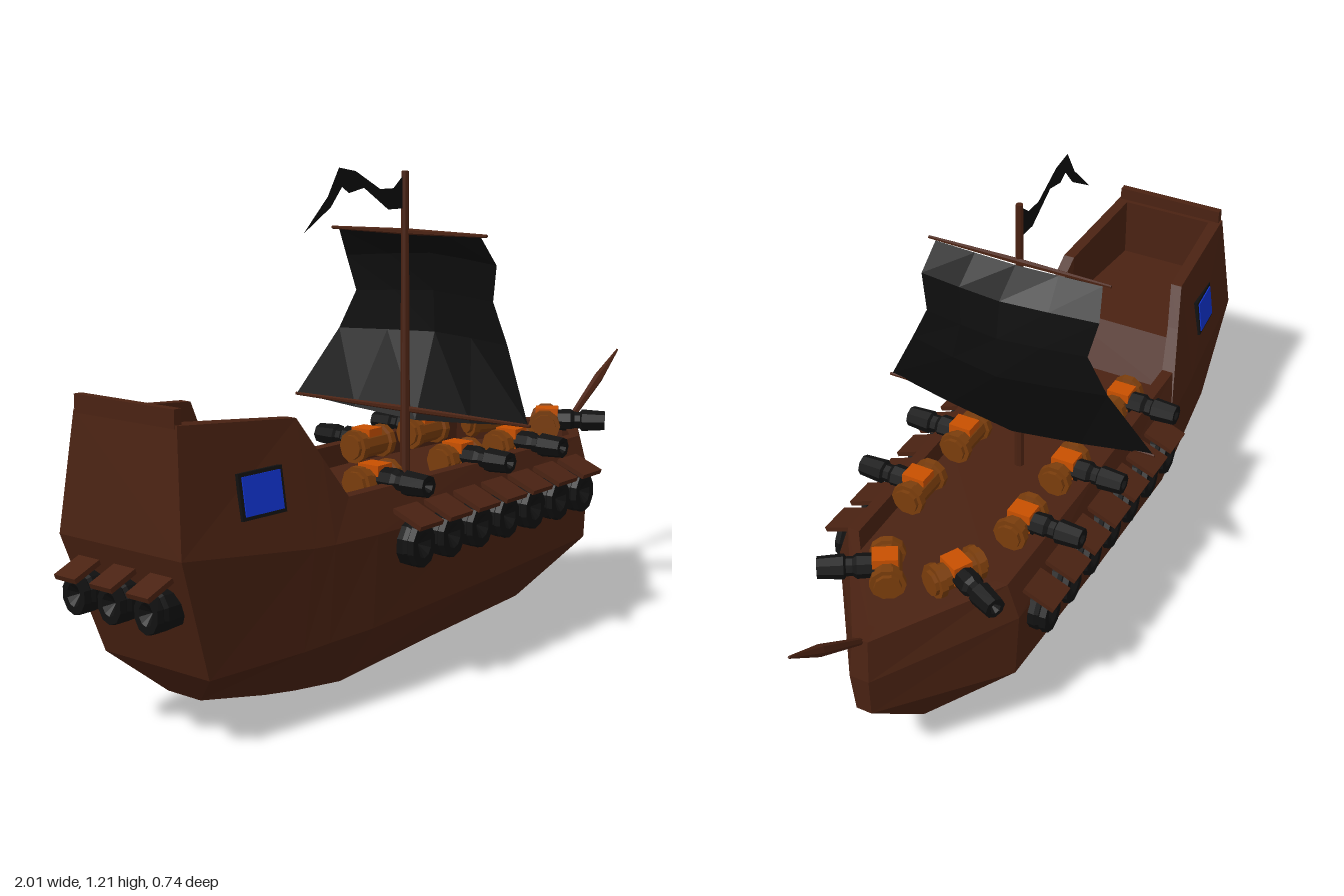
import * as THREE from 'three';

const mat = (color, side = THREE.FrontSide) =>
  new THREE.MeshStandardMaterial({ color, flatShading: true, side });
const wood = mat(0x4a2212);
const black = mat(0x111111);
const cloth = mat(0x0d0d0d, THREE.DoubleSide);
const orange = mat(0xc85000);
const bronze = mat(0x7a3d0c);
const blue = mat(0x1133cc);

function add(parent, name, geometry, material, x = 0, y = 0, z = 0) {
  const mesh = new THREE.Mesh(geometry, material);
  mesh.name = name;
  mesh.position.set(x, y, z);
  parent.add(mesh);
  return mesh;
}

function indexed(points, index) {
  const g = new THREE.BufferGeometry();
  g.setAttribute('position', new THREE.Float32BufferAttribute(points.flat(), 3));
  g.setIndex(index);
  const flat = g.toNonIndexed();
  flat.computeVertexNormals();
  return flat;
}

const lathe = (profile, segments) =>
  new THREE.LatheGeometry(profile.map(([r, y]) => new THREE.Vector2(r, y)), segments);

// Each station: keel, chine, belt and rail as [x, y, halfWidth], then deck height and inner x shift
const stations = [
  [[-.79, .08, .05], [-.87, .17, .16], [-.965, .45, .185], [-.94, .72, .155], .56, .03],
  [[-.6, .04, .06], [-.62, .175, .2], [-.61, .41, .225], [-.61, .69, .175], .56, 0],
  [[-.5, .022, .06], [-.55, .18, .212], [-.55, .407, .232], [-.55, .595, .197], .56, 0],
  [[-.34, 0, .06], [-.42, .185, .23], [-.42, .405, .245], [-.485, .5, .215], .44, 0],
  [[0, .02, .06], [0, .2, .235], [0, .4, .247], [0, .495, .22], .44, 0],
  [[.4, .035, .055], [.45, .22, .235], [.45, .4, .245], [.45, .49, .215], .43, 0],
  [[.54, .06, .03], [.745, .25, .02], [.755, .36, .025], [.74, .47, .02], .42, -.05],
];

function hullGeometry() {
  const points = [], index = [], n = 12;
  for (const [keel, chine, belt, rail, deck, shift] of stations) {
    const w = Math.max(rail[2] - .03, .008);
    const half = [keel, chine, belt, rail, [rail[0] + shift, rail[1], w], [rail[0] + shift, deck, w]];
    for (const [x, y, z] of half) points.push([x, y, z]);
    for (const [x, y, z] of half.slice().reverse()) points.push([x, y, -z]);
  }
  const quad = (a, b, c, d) => index.push(a, b, c, a, c, d);
  const last = stations.length - 1;
  for (let i = 0; i < last; i++)
    for (let k = 0; k < n; k++) {
      const l = (k + 1) % n;
      quad(i * n + k, (i + 1) * n + k, (i + 1) * n + l, i * n + l);
    }
  // Transom and stem, with the inside faces of both
  for (let j = 0; j < 5; j++) {
    quad(j, j + 1, n - 2 - j, n - 1 - j);
    const o = last * n;
    quad(o + j, o + n - 1 - j, o + n - 2 - j, o + j + 1);
  }
  return indexed(points, index);
}

// Sail rows: height, half width, edge x, centre x, centre height
function sailGeometry() {
  const rows = [
    [1.04, .22, -.005, .005, 1.04], [.97, .235, .04, .085, .985], [.88, .215, .055, .1, .89],
    [.78, .265, .045, .105, .785], [.605, .365, -.01, .025, .57],
  ];
  const points = [], index = [], cols = 5;
  for (const [y, w, ex, cx, cy] of rows)
    for (let k = 0; k < cols; k++) {
      const t = k / 2 - 1, e = Math.abs(t) ** 1.2;
      points.push([cx + (ex - cx) * e, cy + (y - cy) * e, w * t]);
    }
  for (let i = 0; i < rows.length - 1; i++)
    for (let k = 0; k < cols - 1; k++) {
      const a = i * cols + k, b = a + cols;
      index.push(a, b, b + 1, a, b + 1, a + 1);
    }
  return indexed(points, index);
}

// Deck gun on a spool-shaped carriage, firing along its own +z
const gunBarrel = lathe([[0, -.01], [.027, -.01], [.03, .07], [.023, .08], [.023, .095],
  [.03, .1], [.026, .162], [.015, .162], [0, .14]], 8).rotateX(Math.PI / 2);
const spool = lathe([[0, -.072], [.032, -.072], [.032, -.062], [.043, -.062], [.043, -.045],
  [.034, -.043], [.034, .043], [.043, .045], [.043, .062], [.032, .062], [.032, .072], [0, .072]], 10)
  .rotateZ(Math.PI / 2);

function deckGun(x, z, angle) {
  const gun = new THREE.Group();
  gun.name = 'deckGun';
  add(gun, 'carriage', spool, bronze);
  add(gun, 'gunMount', new THREE.BoxGeometry(.05, .05, .06), orange, 0, .017, .005);
  add(gun, 'gunBarrel', gunBarrel, black, 0, .008, 0);
  gun.position.set(x, .495, z);
  gun.rotation.y = angle;
  return gun;
}

// Hull gun under a tilted lid, firing along its own +z
const portBarrel = lathe([[0, -.04], [.042, -.04], [.045, .02], [.04, .03], [.045, .035],
  [.042, .05], [.025, .05], [0, .03]], 10).rotateX(Math.PI / 2);

function portGun(name, x, y, z, angle, width, scale) {
  const gun = new THREE.Group();
  gun.name = name;
  add(gun, 'portBarrel', portBarrel, black).scale.set(scale, scale * 1.22, 1);
  const lid = add(gun, 'portLid', new THREE.BoxGeometry(width, .012, .085), wood, 0, .065 * scale, .032);
  lid.rotation.x = .38;
  gun.position.set(x, y, z);
  gun.rotation.y = angle;
  return gun;
}

export function createModel() {
  const ship = new THREE.Group();
  ship.name = 'sailingShip';
  add(ship, 'hull', hullGeometry(), wood);
  add(ship, 'sternBoard', new THREE.BoxGeometry(.02, .04, .3), wood, -.932, .733, 0);

  // Mast, yards, sail and pennant
  add(ship, 'mast', new THREE.CylinderGeometry(.009, .013, .77, 8), wood, -.015, .805, 0);
  for (const [y, half] of [[1.043, .24], [.603, .37]]) {
    const yard = lathe([[0, -half], [.004, -half], [.008, 0], [.004, half], [0, half]], 6);
    add(ship, 'yard', yard.rotateX(Math.PI / 2), wood, -.008, y, 0);
  }
  add(ship, 'sail', sailGeometry(), cloth);
  const pennant = new THREE.Shape([[-.015, 1.185], [-.06, 1.15], [-.11, 1.15], [-.2, 1.195], [-.26, 1.205],
    [-.3, 1.14], [-.385, 1.06], [-.29, 1.115], [-.25, 1.16], [-.225, 1.145], [-.17, 1.155],
    [-.08, 1.1], [-.015, 1.1]].map(([x, y]) => new THREE.Vector2(x, y)));
  add(ship, 'pennant', new THREE.ShapeGeometry(pennant), cloth);

  // Bowsprit
  const sprit = lathe([[0, -.165], [.008, -.165], [.014, .03], [.003, .155], [0, .155]], 6);
  add(ship, 'bowsprit', sprit, wood, .865, .55, 0).rotation.z = -.97;

  // Both sides: deck guns, row of port guns and cabin windows
  for (const s of [1, -1]) {
    const angle = s > 0 ? 0 : Math.PI;
    for (const x of [-.31, .01, .24]) ship.add(deckGun(x, s * .14, angle));
    for (let i = 0; i < 7; i++)
      ship.add(portGun('sidePortGun', -.31 + i * .1125, .365, s * .24, angle, .085, 1));
    const cabinWindow = new THREE.Group();
    cabinWindow.name = 'cabinWindow';
    add(cabinWindow, 'windowFrame', new THREE.BoxGeometry(.12, .1, .016), black);
    add(cabinWindow, 'windowPane', new THREE.BoxGeometry(.104, .084, .022), blue);
    cabinWindow.position.set(-.74, .552, s * .19);
    cabinWindow.rotation.set(-.14 * s, -.11 * s, 0);
    ship.add(cabinWindow);
  }

  // Bow chasers
  ship.add(deckGun(.47, -.09, Math.PI - .47));
  ship.add(deckGun(.53, .055, .55));

  // Stern guns
  for (const z of [-.11, 0, .11])
    ship.add(portGun('sternPortGun', -.946, .335, z, -Math.PI / 2, .065, .85));
  return ship;
}
